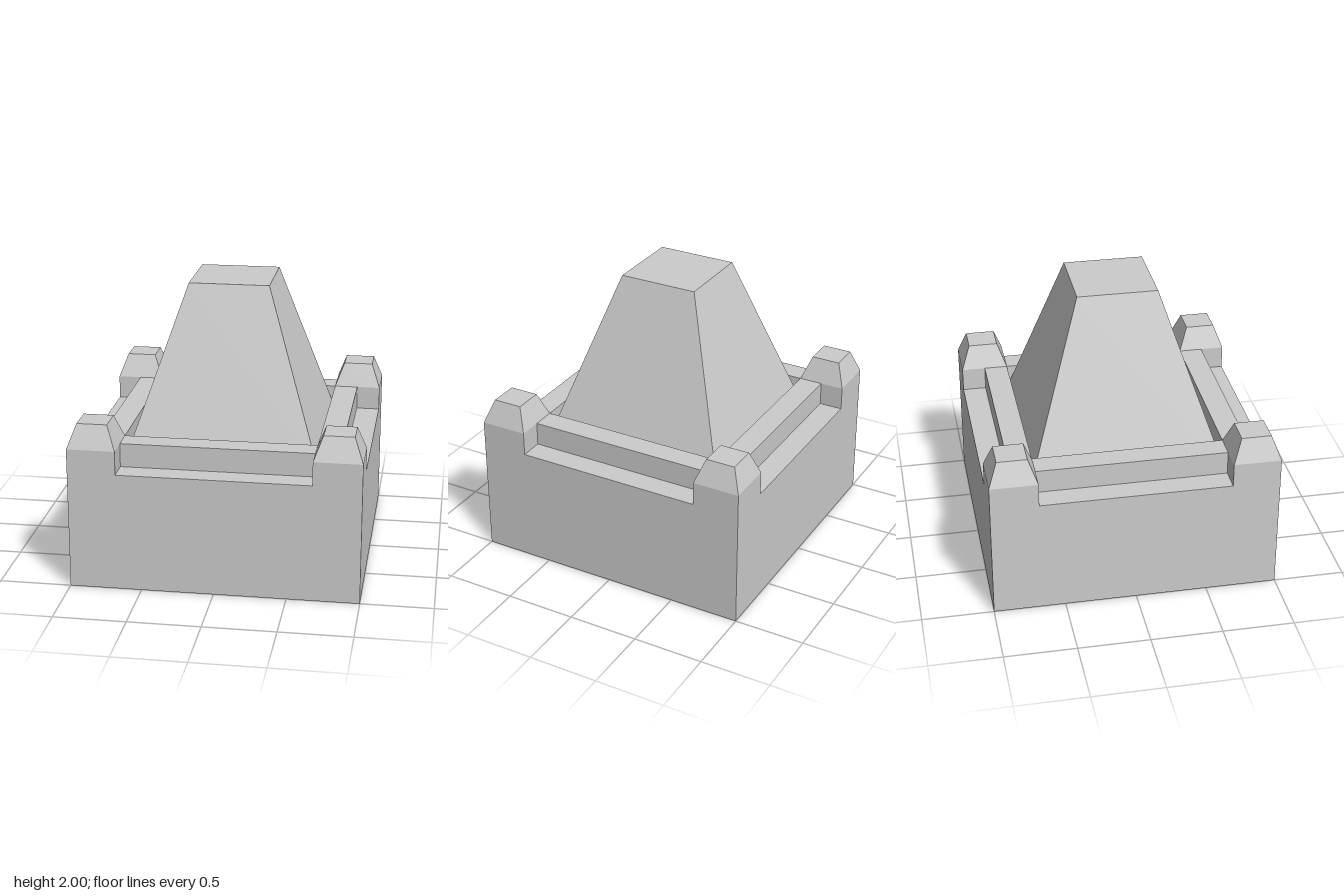
import * as THREE from 'three';

const material = new THREE.MeshStandardMaterial({
  color: 0xcccccc, flatShading: true, side: THREE.DoubleSide,
});

const INNER = 2 / 3;    // inner edge of the corner posts
const STEP = 5 / 6;     // ledge height and outer face of the parapet

function flatMesh(name, geometry) {
  const faceted = geometry.index ? geometry.toNonIndexed() : geometry;
  faceted.computeVertexNormals();
  const mesh = new THREE.Mesh(faceted, material);
  mesh.name = name;
  return mesh;
}

// Hollow square shell, open below: rings are [half width, height]
function squareShell(name, rings) {
  const points = rings.map(([half, y]) => new THREE.Vector2(half * Math.SQRT2, y));
  points.push(new THREE.Vector2(0, rings[rings.length - 1][1]));
  return flatMesh(name, new THREE.LatheGeometry(points, 4, Math.PI / 4));
}

// Sweeps a [z, y] profile along x as a thin sheet
function sheet(name, profile, halfLength) {
  const positions = [];
  for (let i = 0; i < profile.length - 1; i++) {
    const [z0, y0] = profile[i];
    const [z1, y1] = profile[i + 1];
    const a = [-halfLength, y0, z0], b = [halfLength, y0, z0];
    const c = [halfLength, y1, z1], d = [-halfLength, y1, z1];
    positions.push(...a, ...b, ...c, ...a, ...c, ...d);
  }
  const geometry = new THREE.BufferGeometry();
  geometry.setAttribute('position', new THREE.Float32BufferAttribute(positions, 3));
  return flatMesh(name, geometry);
}

export function createModel() {
  const model = new THREE.Group();
  model.name = 'tower';

  // Central tapered tower, hollow inside
  model.add(squareShell('taperedTower', [[INNER, STEP], [0.28, 2]]));

  // Wall, ledge, raised parapet and its flat underside
  const wallProfile = [
    [1, 0], [1, STEP], [STEP, STEP], [STEP, 1],
    [INNER, 1], [INNER, STEP], [STEP, STEP],
  ];
  const sides = ['front', 'left', 'back', 'right'];
  sides.forEach((side, i) => {
    const wall = sheet(`${side}Wall`, wallProfile, INNER);
    wall.rotation.y = i * Math.PI / 2;
    model.add(wall);
  });

  // Hollow corner posts with bevelled caps
  for (const x of [-1, 1]) {
    for (const z of [-1, 1]) {
      const name = `${z > 0 ? 'front' : 'back'}${x > 0 ? 'Left' : 'Right'}Post`;
      const post = squareShell(name, [[1 / 6, 0], [1 / 6, 1], [0.104, 7 / 6]]);
      post.position.set(x * STEP, 0, z * STEP);
      model.add(post);
    }
  }

  return model;
}
